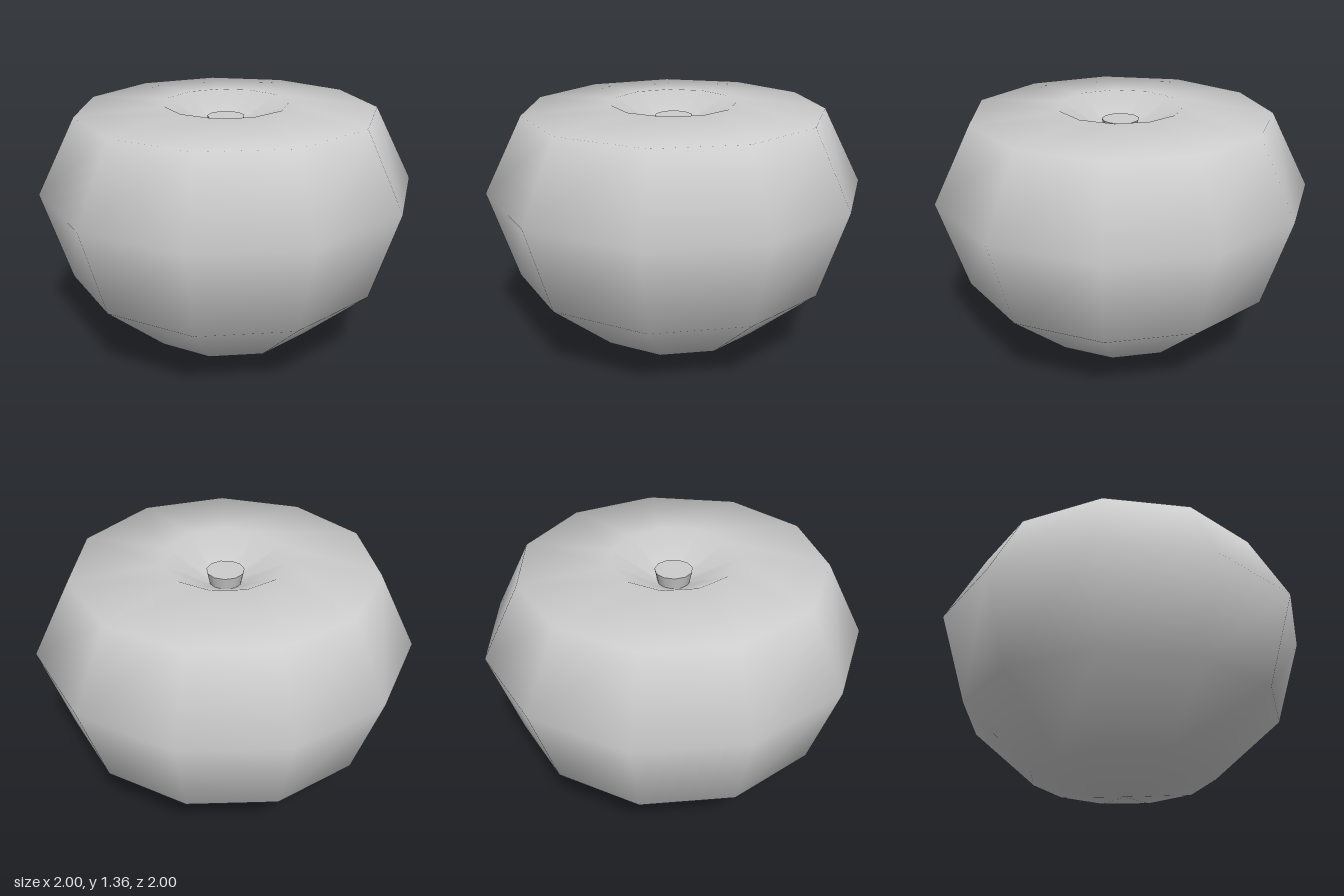
import * as THREE from 'three';
import { mergeVertices } from 'three/addons/utils/BufferGeometryUtils.js';

// Slightly uneven eleven-sided outline (x, z) at the widest level
const outline = [
  [-0.04, -1], [0.49, -0.87], [0.865, -0.49], [1, 0.03], [0.83, 0.57], [0.37, 0.94],
  [-0.24, 1], [-0.74, 0.71], [-1, 0.2], [-0.94, -0.37], [-0.57, -0.82],
];
const cx = -0.018, cz = 0.012;

// Levels from the bottom tip, over the shoulder and into the dimple:
// scale of the outline, height, sideways shift
const levels = [
  [0, 0, -0.035], [0.49, 0.11, 0], [0.855, 0.445, 0], [1, 0.93, 0],
  [0.795, 1.33, 0], [0.33, 1.36, 0], [0.08, 1.22, 0], [0, 1.2, 0],
];

function skin() {
  const pos = [], index = [], n = outline.length;
  for (const [s, y, shift] of levels) {
    for (const [x, z] of outline) pos.push(cx + shift + (x - cx) * s, y, cz + (z - cz) * s);
  }
  for (let i = 0; i < levels.length - 1; i++) {
    for (let j = 0; j < n; j++) {
      const k = (j + 1) % n;
      const a = i * n + j, b = i * n + k, c = a + n, d = b + n;
      if (levels[i][0] > 0) index.push(a, c, b);
      if (levels[i + 1][0] > 0) index.push(b, c, d);
    }
  }
  let geo = new THREE.BufferGeometry();
  geo.setAttribute('position', new THREE.Float32BufferAttribute(pos, 3));
  geo.setIndex(index);
  // Weld the tips so that the shading is smooth all over
  geo = mergeVertices(geo);
  geo.computeVertexNormals();
  return geo;
}

export function createModel() {
  const grey = new THREE.MeshStandardMaterial({ color: 0xcccccc });
  grey.name = 'light grey';
  const group = new THREE.Group();
  group.name = 'fruit';

  const body = new THREE.Mesh(skin(), grey);
  body.name = 'body';

  // Short stub sitting in the dimple
  const stem = new THREE.Mesh(new THREE.CylinderGeometry(0.1, 0.08, 0.09, 11), grey);
  stem.name = 'stem';
  stem.position.set(-0.015, 1.245, 0.01);

  group.add(body, stem);
  return group;
}
